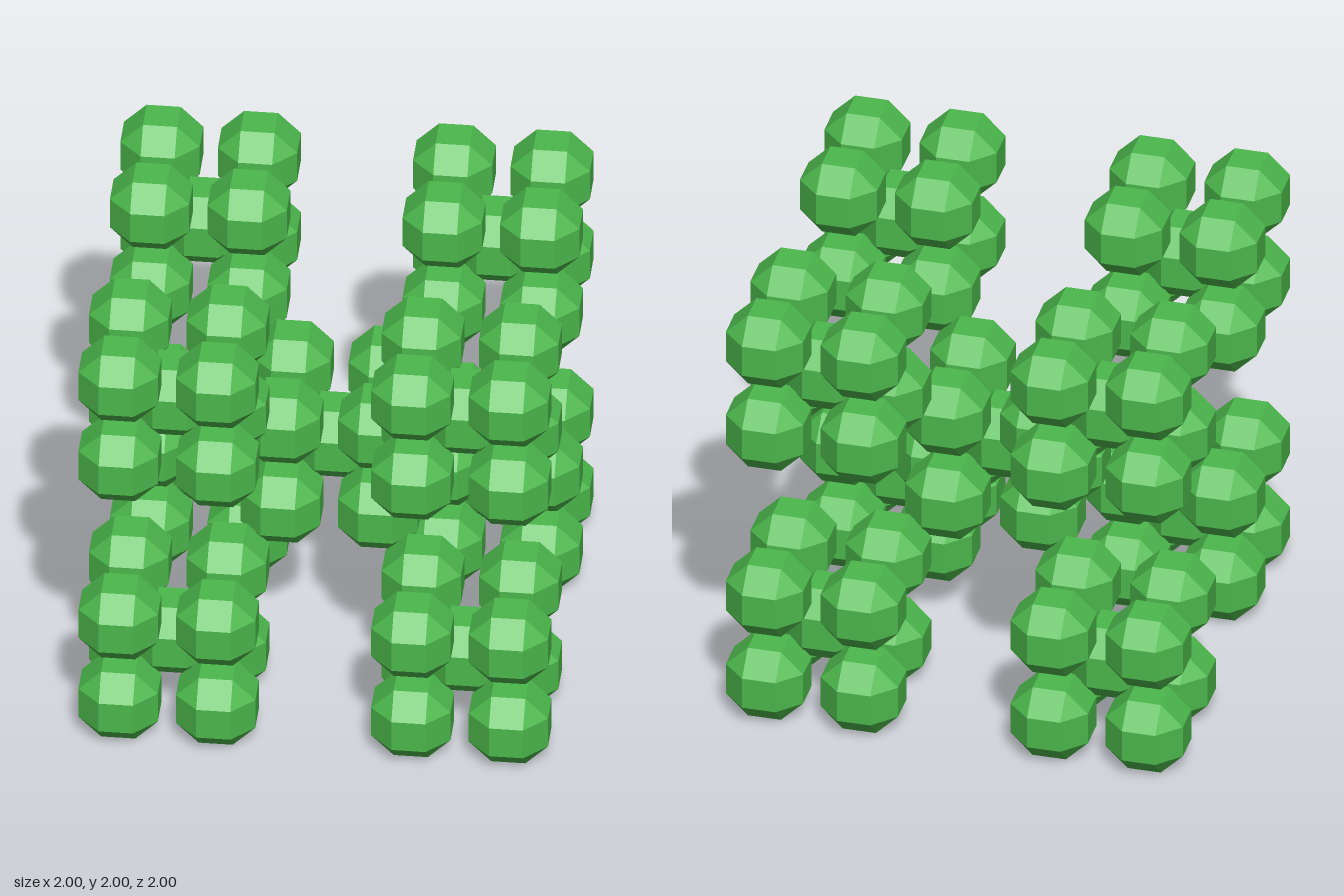
import * as THREE from 'three';
import { ConvexGeometry } from 'three/addons/geometries/ConvexGeometry.js';

const RADIUS = 0.169;         // half width of one ball
const FLAT = RADIUS * 0.43;   // half width of its square facets
const NEAR = 0.2077;          // ball offset inside a cluster
const FAR = 0.6233;           // cluster offset inside the model

// The middle and the eight corners of a cube
function bodyCentred(d) {
  const points = [new THREE.Vector3(0, 0, 0)];
  for (const x of [-d, d]) for (const y of [-d, d]) for (const z of [-d, d]) {
    points.push(new THREE.Vector3(x, y, z));
  }
  return points;
}

// Faceted ball: six squares joined by bevels and corner triangles
function ballGeometry() {
  const corners = [];
  for (const a of [-1, 1]) for (const b of [-1, 1]) for (const c of [-1, 1]) {
    corners.push(
      new THREE.Vector3(a * RADIUS, b * FLAT, c * FLAT),
      new THREE.Vector3(a * FLAT, b * RADIUS, c * FLAT),
      new THREE.Vector3(a * FLAT, b * FLAT, c * RADIUS)
    );
  }
  return new ConvexGeometry(corners);
}

export function createModel() {
  const model = new THREE.Group();
  model.name = 'ballLattice';
  const geometry = ballGeometry();
  const material = new THREE.MeshStandardMaterial({ color: 0x4cb84c, flatShading: true });

  // Nine clusters of nine balls, each repeating the whole pattern
  bodyCentred(FAR).forEach((centre, i) => {
    const cluster = new THREE.Group();
    cluster.name = i === 0 ? 'centreCluster' : 'cornerCluster' + i;
    cluster.position.copy(centre);
    cluster.position.y += 1;
    bodyCentred(NEAR).forEach((offset, j) => {
      const ball = new THREE.Mesh(geometry, material);
      ball.name = j === 0 ? 'centreBall' : 'cornerBall' + j;
      ball.position.copy(offset);
      cluster.add(ball);
    });
    model.add(cluster);
  });
  return model;
}
